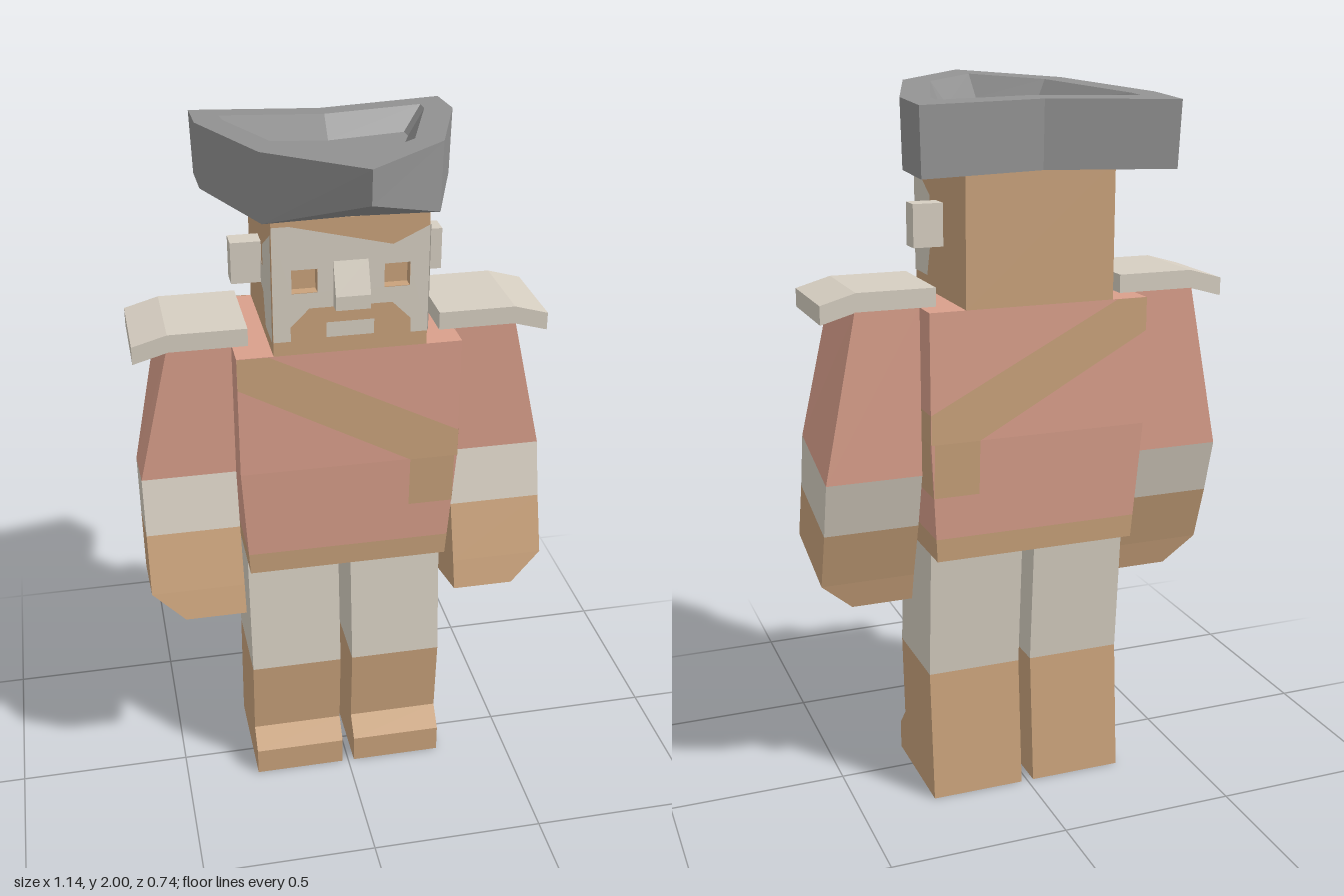
import * as THREE from 'three';

const mat = (color, side = THREE.FrontSide) =>
  new THREE.MeshStandardMaterial({ color, flatShading: true, side });
const COLORS = { tan: 0xc9a27b, cream: 0xd6cec1, pink: 0xd99f8b, grey: 0x929292 };
const solid = {}, thin = {};
for (const k in COLORS) {
  solid[k] = mat(COLORS[k]);
  thin[k] = mat(COLORS[k], THREE.DoubleSide);
}

function add(parent, name, geometry, material) {
  const mesh = new THREE.Mesh(geometry, material);
  mesh.name = name;
  parent.add(mesh);
  return mesh;
}

const shapeOf = (pts, holes = []) => {
  const s = new THREE.Shape(pts.map(p => new THREE.Vector2(...p)));
  s.holes = holes.map(h => new THREE.Path(h.map(p => new THREE.Vector2(...p))));
  return s;
};
const rect = (x0, y0, x1, y1) => [[x0, y0], [x1, y0], [x1, y1], [x0, y1]];
const lerp = THREE.MathUtils.lerp;

// Closed skin through rings of points, with a fan cap at each end
function loft(rings, bottomCentre, topCentre) {
  const pos = [], n = rings[0].length;
  const tri = (...p) => p.forEach(q => pos.push(...q));
  const mean = r => [0, 1, 2].map(k => r.reduce((s, p) => s + p[k], 0) / n);
  const first = rings[0], last = rings[rings.length - 1];
  const c0 = bottomCentre || mean(first), c1 = topCentre || mean(last);
  for (let j = 0; j < n; j++) {
    const k = (j + 1) % n;
    for (let i = 0; i < rings.length - 1; i++) {
      const a = rings[i], b = rings[i + 1];
      tri(a[j], a[k], b[k]);
      tri(a[j], b[k], b[j]);
    }
    tri(c0, first[k], first[j]);
    tri(c1, last[j], last[k]);
  }
  const g = new THREE.BufferGeometry();
  g.setAttribute('position', new THREE.Float32BufferAttribute(pos, 3));
  g.computeVertexNormals();
  return g;
}

// Four-cornered ring; front and back are [z, y]
const ring4 = (x0, x1, [zf, yf], [zb, yb]) =>
  [[x0, yf, zf], [x1, yf, zf], [x1, yb, zb], [x0, yb, zb]];

// Profile in (z, y) extruded from x0 to x1
function sideExtrude(pts, x0, x1) {
  return new THREE.ExtrudeGeometry(shapeOf(pts), { depth: x1 - x0, bevelEnabled: false })
    .rotateY(-Math.PI / 2).translate(x1, 0, 0);
}

// Flat coloured area laid on a surface by a rule (u, v) -> [x, y, z]
function patch(pts, rule, holes) {
  const g = new THREE.ShapeGeometry(shapeOf(pts, holes));
  const p = g.attributes.position;
  for (let i = 0; i < p.count; i++) p.setXYZ(i, ...rule(p.getX(i), p.getY(i)));
  g.computeVertexNormals();
  return g;
}

function buildTorso(root) {
  const torso = new THREE.Group();
  torso.name = 'torso';
  root.add(torso);
  const t = y => Math.min(1, Math.max(0, (1.08 - y) / (1.08 - 0.745)));
  const half = y => lerp(0.305, 0.285, t(y));
  const front = y => lerp(0.127, 0.11, t(y));
  const back = y => lerp(-0.29, -0.27, t(y));
  const ring = y => ring4(-half(y), half(y), [front(y), y], [back(y), y]);
  add(torso, 'shirt', loft([0.81, 1.08, 1.43].map(ring)), solid.pink);
  add(torso, 'shirtHem', loft([0.745, 0.81].map(ring)), solid.tan);

  // Sash and pouch, front, back and around the left side
  const sash = [[-0.305, 1.34], [0.17, 1.08], [0.305, 1.08], [0.305, 1.16], [-0.22, 1.43], [-0.305, 1.43]];
  const pouch = rect(0.17, 0.93, 0.296, 1.08);
  const e = 0.003;
  for (const [side, rule] of [
    ['Front', (x, y) => [x, y, front(y) + e]],
    ['Back', (x, y) => [x, y, back(y) - e]],
  ]) {
    add(torso, 'sash' + side, patch(sash, rule), thin.tan);
    add(torso, 'pouch' + side, patch(pouch, rule), thin.tan);
  }
  const left = (z, y) => [half(y) + e / 3, y, z];
  add(torso, 'sashSide', patch(rect(-0.29, 1.08, 0.127, 1.16), left), thin.tan);
  add(torso, 'pouchSide', patch(rect(-0.281, 0.93, 0.119, 1.08), left), thin.tan);
}

function buildHead(root) {
  const head = new THREE.Group();
  head.name = 'head';
  root.add(head);
  const w = 0.206, e = 0.003;
  add(head, 'skull', new THREE.BoxGeometry(2 * w, 0.365, 0.387).translate(0, 1.6125, -0.0965), solid.tan);

  // Front plate with eye sockets
  const sockets = [-1, 1].map(s => rect(s * 0.122 - 0.034, 1.603, s * 0.122 + 0.034, 1.668));
  add(head, 'facePlate', new THREE.ExtrudeGeometry(shapeOf(rect(-w, 1.43, w, 1.80), sockets),
    { depth: 0.03, bevelEnabled: false }).translate(0, 0, 0.097), solid.tan);

  // Skin areas, leaving hair and beard uncovered
  const face = [[-w, 1.47], [-0.16, 1.47], [-0.16, 1.51], [-0.11, 1.56], [0.11, 1.56], [0.16, 1.51],
    [0.16, 1.47], [w, 1.47], [w, 1.765], [0.11, 1.72], [-0.16, 1.785], [-w, 1.785]];
  const onFace = (x, y) => [x, y, 0.127 + e];
  add(head, 'faceSkin', patch(face, onFace, sockets), thin.cream);
  add(head, 'mouth', patch(rect(-0.065, 1.475, 0.062, 1.517), onFace), thin.cream);
  const cheek = [[0.127, 1.47], [0.127, 1.765], [-0.01, 1.69], [-0.01, 1.63], [-0.05, 1.63],
    [-0.05, 1.57], [-0.01, 1.56], [0.02, 1.47]];
  for (const s of [-1, 1]) {
    const side = s > 0 ? 'left' : 'right';
    add(head, side + 'Cheek', patch(cheek, (z, y) => [s * (w + e), y, z]), thin.cream);
    add(head, side + 'Ear', new THREE.BoxGeometry(0.085, 0.115, 0.06)
      .translate(s * 0.246, 1.625, -0.082), solid.cream);
  }
  add(head, 'nose', sideExtrude(
    [[0.12, 1.562], [0.165, 1.562], [0.165, 1.6], [0.13, 1.685], [0.12, 1.685]], -0.047, 0.045), solid.cream);
}

function buildHat(root) {
  // Half outlines in (x, z) from the front tip to the notch at the back
  const loop = half => [...half,
    ...half.slice(1, -1).reverse().map(([x, z]) => [-x, z])];
  const outer = loop([[0, 0.37], [0.232, 0.14], [0.35, -0.215], [0.35, -0.372], [0, -0.305]]);
  const rim = loop([[0, 0.26], [0.167, 0.1], [0.275, -0.23], [0.278, -0.283], [0, -0.23]]);
  const floor = loop([[0, 0.2], [0.13, 0.07], [0.218, -0.175], [0.218, -0.222], [0, -0.177]]);
  const top = z => 1.975 + 0.068 * z;
  const under = z => z > 0.2 ? 1.91 : 1.793 + 0.05 * z;
  const lift = (pts, f, k = 1) => pts.map(([x, z]) => [x * k, f(z), z * k]);
  const sunk = z => top(z) - 0.06;
  add(root, 'hat', loft(
    [lift(outer, under, 0.985), lift(outer, top), lift(rim, top), lift(floor, sunk)],
    [0, 1.8, 0.125], [0, sunk(0), 0]), solid.grey);
}

function buildArm(root, s) {
  const arm = new THREE.Group();
  arm.name = s > 0 ? 'leftArm' : 'rightArm';
  root.add(arm);
  const ring = (out, f, b) => ring4(...[s * 0.307, s * out].sort((p, q) => p - q), f, b);
  const shoulder = ring(0.48, [0.045, 1.43], [-0.215, 1.43]);
  const elbow = ring(0.57, [0.04, 1.045], [-0.215, 0.975]);
  const wrist = ring(0.57, [0.08, 0.888], [-0.173, 0.82]);
  const knuckle = ring(0.57, [0.132, 0.725], [-0.121, 0.657]);
  const end = ring(0.48, [0.155, 0.643], [-0.1, 0.577]);
  add(arm, 'sleeve', loft([elbow, shoulder]), solid.pink);
  add(arm, 'cuff', loft([wrist, elbow]), solid.cream);
  add(arm, 'hand', loft([end, knuckle, wrist]), solid.tan);

  // Shoulder pad with a drooping outer edge
  const pad = [[0.262, 1.43], [0.475, 1.43], [0.57, 1.403], [0.57, 1.453], [0.475, 1.48], [0.262, 1.48]];
  add(arm, 'shoulderPad', new THREE.ExtrudeGeometry(shapeOf(pad.map(([x, y]) => [s * x, y])),
    { depth: 0.263, bevelEnabled: false }).translate(0, 0, -0.215), solid.cream);
}

function buildLeg(root, s) {
  const leg = new THREE.Group();
  leg.name = s > 0 ? 'leftLeg' : 'rightLeg';
  root.add(leg);
  const x0 = s > 0 ? 0.018 : -0.285, x1 = x0 + 0.267;
  add(leg, 'trouser', sideExtrude(
    [[-0.185, 0.375], [0.08, 0.375], [0.045, 0.75], [-0.212, 0.75]], x0, x1), solid.cream);
  add(leg, 'boot', sideExtrude(
    [[-0.215, 0], [0.113, 0], [0.113, 0.083], [0.063, 0.14], [0.08, 0.375], [-0.185, 0.375]], x0, x1), solid.tan);
}

export function createModel() {
  const root = new THREE.Group();
  root.name = 'blockyFigure';
  buildTorso(root);
  buildHead(root);
  buildHat(root);
  for (const s of [-1, 1]) {
    buildArm(root, s);
    buildLeg(root, s);
  }
  return root;
}
